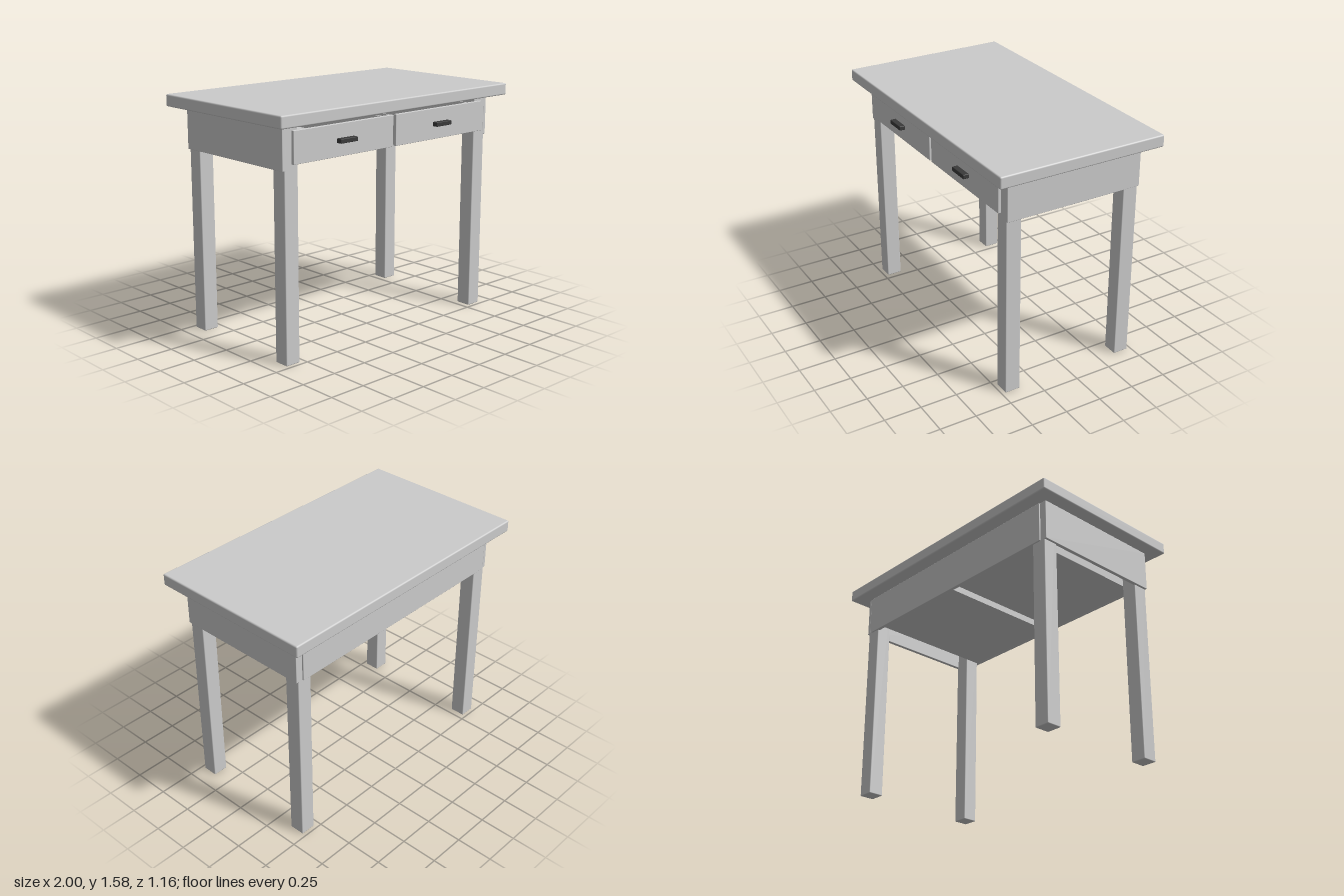
import * as THREE from 'three';
import { RoundedBoxGeometry } from 'three/addons/geometries/RoundedBoxGeometry.js';

const wood = new THREE.MeshStandardMaterial({ color: 0xcccccc });
const dark = new THREE.MeshStandardMaterial({ color: 0x3a3a3a });

// Box given by its limits on each axis, with slightly eased edges when r > 0
function block(name, [x0, x1], [y0, y1], [z0, z1], r = 0, material = wood) {
  const size = [x1 - x0, y1 - y0, z1 - z0];
  const geometry = r > 0 ? new RoundedBoxGeometry(...size, 2, r) : new THREE.BoxGeometry(...size);
  const mesh = new THREE.Mesh(geometry, material);
  mesh.name = name;
  mesh.position.set((x0 + x1) / 2, (y0 + y1) / 2, (z0 + z1) / 2);
  return mesh;
}

// Drawer built on the +x side: front, open box and pull
function createDrawer() {
  const drawer = new THREE.Group();
  const t = 0.015, x0 = 0.03, x1 = 0.785, z0 = -0.44, z1 = 0.475;
  drawer.add(
    block('drawerFront', [0.012, 0.84], [1.26, 1.465], [z1, 0.497], 0.003),
    block('drawerBottom', [x0, x1], [1.261, 1.261 + t], [z0, z1]),
    block('drawerInnerSide', [x0, x0 + t], [1.261, 1.45], [z0, z1]),
    block('drawerOuterSide', [x1 - t, x1], [1.261, 1.45], [z0, z1]),
    block('drawerBack', [x0, x1], [1.261, 1.45], [z0, z0 + t]),
    block('drawerHandle', [0.355, 0.497], [1.347, 1.376], [0.495, 0.535], 0.004, dark)
  );
  return drawer;
}

// Mirrors a block or group of symmetric blocks to the other side of x = 0
function mirrored(object) {
  const copy = object.clone();
  copy.position.x *= -1;
  copy.children.forEach((child) => { child.position.x *= -1; });
  return copy;
}

export function createModel() {
  const table = new THREE.Group();
  table.name = 'table';

  // Top slab and back apron
  table.add(block('tableTop', [-1, 1], [1.5, 1.58], [-0.578, 0.578], 0.01));
  table.add(block('backApron', [-0.86, 0.86], [1.225, 1.498], [-0.485, -0.46], 0.003));

  // Side aprons, legs and drawers, repeated on both sides
  const half = [
    block('sideApron', [0.885, 0.91], [1.225, 1.5], [-0.476, 0.476], 0.003),
    block('frontLeg', [0.79, 0.895], [0, 1.5], [0.37, 0.475], 0.006),
    block('backLeg', [0.79, 0.895], [0, 1.5], [-0.475, -0.37], 0.006)
  ];
  const drawer = createDrawer();
  drawer.name = 'drawer';
  half.push(drawer);
  for (const part of half) table.add(part, mirrored(part));

  return table;
}
